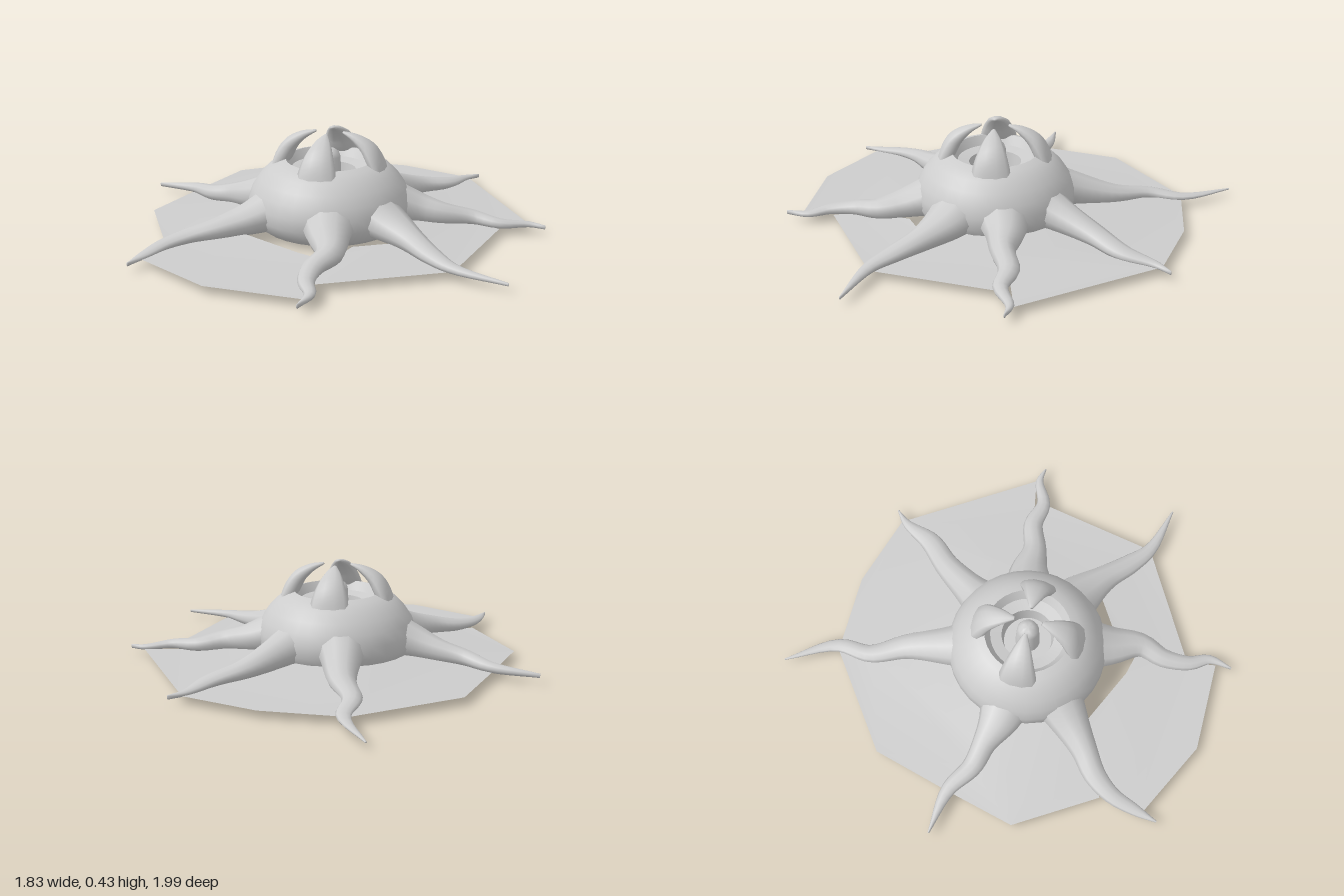
import * as THREE from 'three';
import { toCreasedNormals } from 'three/addons/utils/BufferGeometryUtils.js';

const CX = -0.02, CZ = 0.07; // axis of the dome

// Lofts elliptical rings along a smooth path; sizes holds [half width, half height] per point
function loft(path, sizes, steps, sides) {
  const curve = new THREE.CatmullRomCurve3(path);
  const sizeCurve = new THREE.CatmullRomCurve3(sizes.map(([w, h], i) => new THREE.Vector3(w, h, i)));
  const up = new THREE.Vector3(0, 1, 0);
  const pos = [], index = [];
  for (let i = 0; i <= steps; i++) {
    const t = i / steps;
    const p = curve.getPoint(t), s = sizeCurve.getPoint(t), tan = curve.getTangent(t);
    const side = up.clone().cross(tan).normalize();
    const normal = tan.clone().cross(side);
    for (let j = 0; j < sides; j++) {
      const a = (j / sides) * Math.PI * 2;
      const v = p.clone().addScaledVector(side, Math.cos(a) * Math.max(s.x, 0.003))
        .addScaledVector(normal, Math.sin(a) * Math.max(s.y, 0.003));
      pos.push(v.x, v.y, v.z);
      if (i < steps) {
        const k = i * sides + j, n = i * sides + ((j + 1) % sides);
        index.push(k, n, n + sides, k, n + sides, k + sides);
      }
    }
  }
  // close the tip
  const last = steps * sides;
  for (let j = 1; j < sides - 1; j++) index.push(last, last + j, last + j + 1);
  const g = new THREE.BufferGeometry();
  g.setAttribute('position', new THREE.Float32BufferAttribute(pos, 3));
  g.setIndex(index);
  g.computeVertexNormals();
  return g;
}

// Arms in order round the body: [x, z, half width] from shoulder to tip
const ARMS = [
  [[-0.09, -0.26, 0.095], [-0.125, -0.46, 0.06], [-0.19, -0.62, 0.042], [-0.18, -0.78, 0.03], [-0.295, -1, 0.004]],
  [[0.18, -0.22, 0.085], [0.3, -0.38, 0.058], [0.41, -0.49, 0.048], [0.48, -0.62, 0.022], [0.54, -0.68, 0.004]],
  [[0.35, 0, 0.09], [0.47, 0, 0.055], [0.6, -0.035, 0.045], [0.72, -0.01, 0.032], [0.84, -0.055, 0.018], [0.91, -0.04, 0.004]],
  [[0.29, 0.26, 0.1], [0.4, 0.35, 0.062], [0.5, 0.45, 0.048], [0.6, 0.53, 0.03], [0.82, 0.6, 0.004]],
  [[0.07, 0.43, 0.095], [0.11, 0.57, 0.058], [0.075, 0.68, 0.045], [0.08, 0.8, 0.034], [0.12, 0.89, 0.022], [0.1, 0.99, 0.004]],
  [[-0.31, 0.32, 0.09], [-0.42, 0.41, 0.06], [-0.52, 0.48, 0.05], [-0.59, 0.57, 0.038], [-0.63, 0.68, 0.026], [-0.66, 0.78, 0.004]],
  [[-0.37, 0.02, 0.095], [-0.49, -0.02, 0.055], [-0.6, -0.05, 0.045], [-0.72, -0.13, 0.032], [-0.92, -0.17, 0.004]],
];

// Outer edge of the web between each arm and the next
const WEB_EDGES = [
  [[-0.17, -0.77], [0.16, -0.76], [0.49, -0.65]],
  [[0.49, -0.65], [0.84, -0.07]],
  [[0.72, 0.02], [0.6, 0.53]],
  [[0.6, 0.53], [0.11, 0.78]],
  [[0.1, 0.92], [-0.3, 0.9], [-0.64, 0.71]],
  [[-0.61, 0.52], [-0.81, 0.17], [-0.72, -0.15]],
  [[-0.72, -0.15], [-0.62, -0.48], [-0.2, -0.77]],
];
// Inner edges where the web stands clear of the body, leaving a slot
const WEB_SLOTS = { 3: [[0.17, 0.43], [0.31, 0.35]], 4: [[-0.37, 0.355], [-0.03, 0.53]] };

// Height of an arm's top at a distance from the axis
const TOPS = [[0.2, 0.25], [0.32, 0.2], [0.37, 0.165], [0.47, 0.13], [0.62, 0.09], [0.82, 0.055], [1.1, 0.03]];
function armTop(d) {
  let i = 0;
  while (i < TOPS.length - 2 && d > TOPS[i + 1][0]) i++;
  const [a, b] = [TOPS[i], TOPS[i + 1]];
  return THREE.MathUtils.lerp(a[1], b[1], THREE.MathUtils.clamp((d - a[0]) / (b[0] - a[0]), 0, 1));
}

// Point under an arm's shoulder, inside the dome
function armRoot(arm, r) {
  const a = Math.atan2(arm[0][1] - CZ, arm[0][0] - CX);
  return [CX + Math.cos(a) * r, CZ + Math.sin(a) * r];
}

export function createModel() {
  const group = new THREE.Group();
  const grey = new THREE.MeshStandardMaterial({ color: 0xcccccc, side: THREE.DoubleSide });
  grey.name = 'pale grey';
  const add = (name, geometry, x = 0, z = 0) => {
    const m = new THREE.Mesh(geometry, grey);
    m.name = name;
    m.position.set(x, 0, z);
    group.add(m);
    return m;
  };
  const lathe = (pts, n) => toCreasedNormals(
    new THREE.LatheGeometry(pts.map(([r, y]) => new THREE.Vector2(r, y)), n), 0.7);

  // Dome with a flat base and a stepped well in the top
  add('dome', lathe([[0, 0], [0.2, 0], [0.3, 0.018], [0.335, 0.045], [0.355, 0.09], [0.353, 0.14],
    [0.335, 0.19], [0.305, 0.235], [0.265, 0.275], [0.225, 0.3], [0.19, 0.31],
    [0.165, 0.27], [0.115, 0.26], [0.105, 0.19], [0, 0.19]], 32), CX, CZ);

  // Rounded knob in the well
  add('knob', lathe([[0.055, 0.18], [0.048, 0.32], [0.04, 0.34], [0.022, 0.353], [0, 0.357]], 16), CX, CZ);

  // Four claws curling in over the well
  const clawPath = [[0.238, 0.24], [0.205, 0.31], [0.172, 0.365], [0.115, 0.408], [0.06, 0.43]];
  const clawSize = [[0.09, 0.025], [0.08, 0.036], [0.062, 0.032], [0.036, 0.018], [0.008, 0.005]];
  const claw = loft(clawPath.map(([r, y]) => new THREE.Vector3(0, y, r)), clawSize, 12, 10);
  for (let i = 0; i < 4; i++) add('claw', claw, CX, CZ).rotation.y = (i * Math.PI) / 2;

  // Tapering arms that spread from the dome
  for (const arm of ARMS) {
    const pts = [[...armRoot(arm, 0.2), 0.14], ...arm];
    const path = [], sizes = [];
    for (const [x, z, w] of pts) {
      const h = Math.max((armTop(Math.hypot(x - CX, z - CZ)) - 0.026) / 2, 0.004);
      path.push(new THREE.Vector3(x, 0.026 + h, z));
      sizes.push([w, h]);
    }
    add('arm', loft(path, sizes, 24, 10));
  }

  // Thin web panels stretched between neighbouring arms
  WEB_EDGES.forEach((edge, i) => {
    const a = ARMS[i], b = ARMS[(i + 1) % ARMS.length];
    const slot = WEB_SLOTS[i];
    const skip = slot ? 1 : 0;
    const inner = slot
      ? [...slot].sort((p, q) => Math.hypot(p[0] - b[0][0], p[1] - b[0][1]) - Math.hypot(q[0] - b[0][0], q[1] - b[0][1]))
      : [armRoot(b, 0.3), armRoot(a, 0.3)];
    const outline = [...inner, ...a.slice(skip, 3), ...edge, ...b.slice(skip, 3).reverse()];
    const g = new THREE.ShapeGeometry(new THREE.Shape(outline.map(([x, z]) => new THREE.Vector2(x, -z))));
    g.rotateX(-Math.PI / 2);
    const p = g.attributes.position;
    for (let k = 0; k < p.count; k++) {
      const r = Math.hypot(p.getX(k) - CX, p.getZ(k) - CZ);
      p.setY(k, 0.033 + 0.035 * Math.max(0, 1 - Math.max(0, r - 0.3) / 0.3));
    }
    g.computeVertexNormals();
    add('web', g);
  });

  return group;
}
